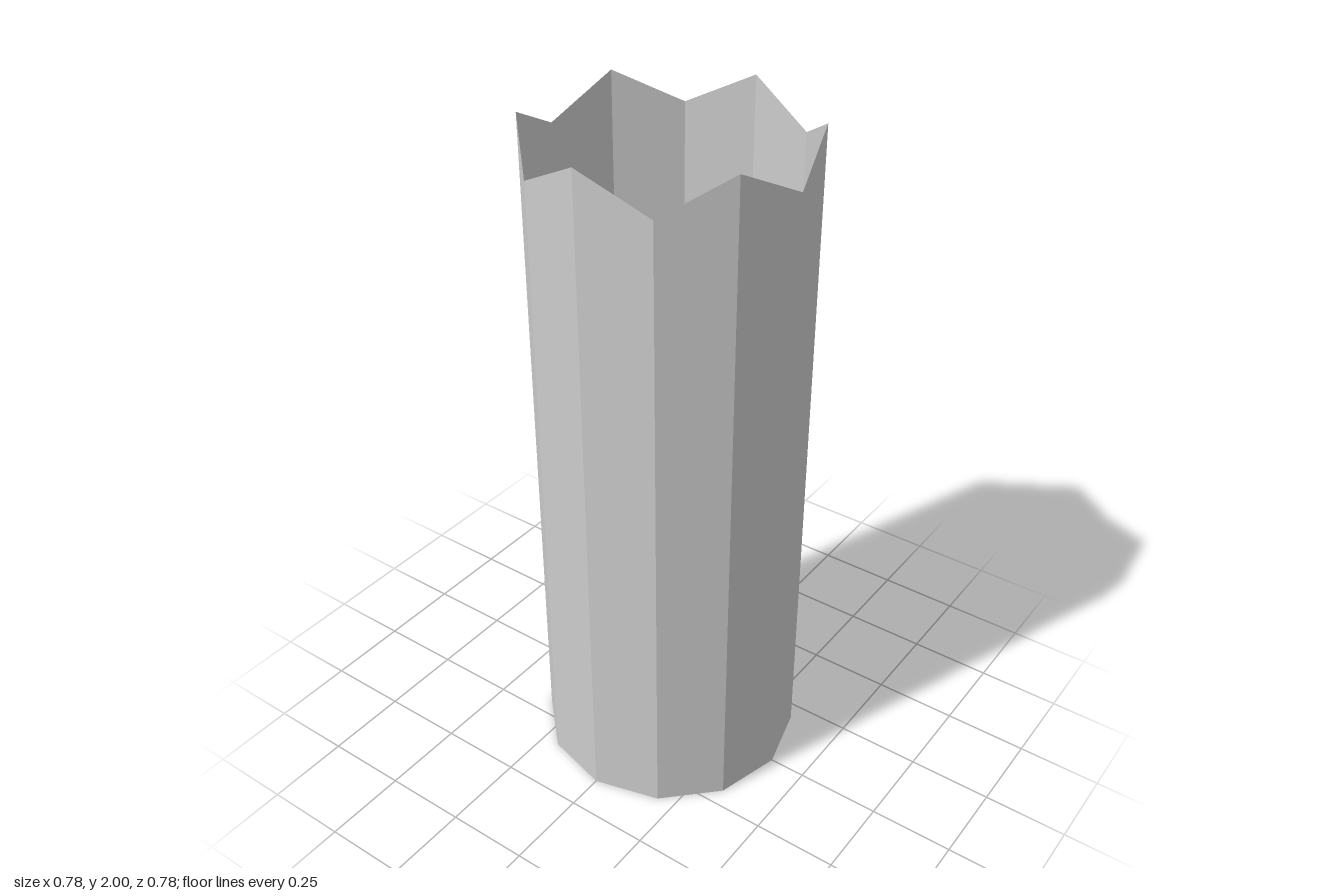
import * as THREE from 'three';

const SIDES = 12;
const RADIUS = 0.39;
const PEAK = 2;
const NOTCH = 1.9;

export function createModel() {
  const group = new THREE.Group();
  group.name = 'zigzagTube';

  // Open twelve-sided tube standing on the ground
  const geometry = new THREE.CylinderGeometry(RADIUS, RADIUS, PEAK, SIDES, 1, true);
  geometry.translate(0, PEAK / 2, 0);

  // Zigzag rim: every other top corner, starting at the front, drops to a notch
  const position = geometry.attributes.position;
  for (let i = 0; i <= SIDES; i += 2) position.setY(i, NOTCH);

  const material = new THREE.MeshStandardMaterial({
    color: 0xcccccc,
    flatShading: true,
    side: THREE.DoubleSide,
  });
  const wall = new THREE.Mesh(geometry, material);
  wall.name = 'tubeWall';
  group.add(wall);
  return group;
}
